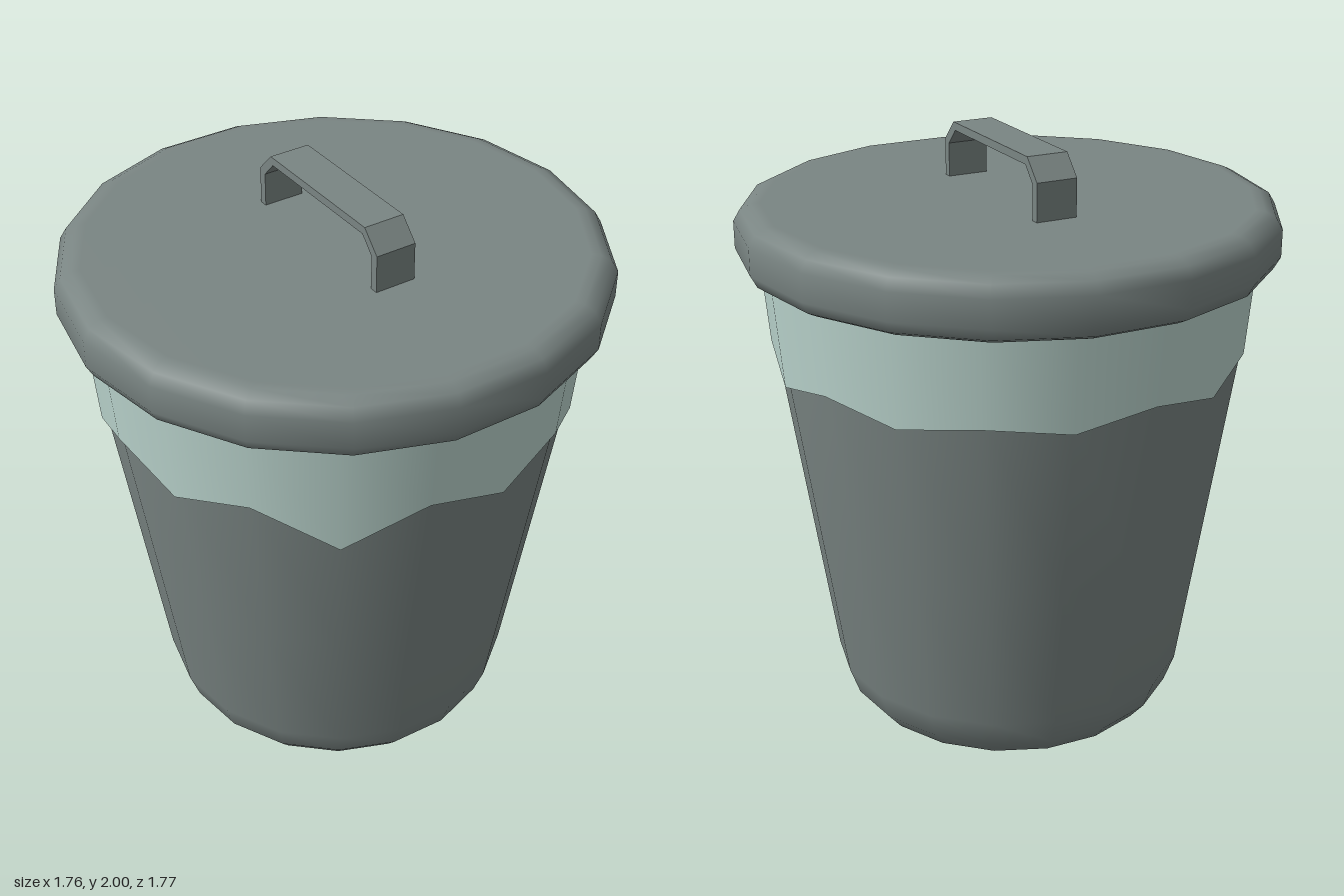
import * as THREE from 'three';

const SIDES = 18;
const points = (list) => list.map(([r, y]) => new THREE.Vector2(r, y));
const lathe = (profile, phi = 0) => new THREE.LatheGeometry(points(profile), SIDES, phi);

// Height of the liner's ragged hem at each of the 18 corners, starting at the front
const HEM = [1.19, 1.33, 1.26, 1.33, 1.235, 1.33, 1.265, 1.325, 1.28,
  1.31, 1.285, 1.33, 1.28, 1.335, 1.22, 1.33, 1.26, 1.33];
const linerRadius = (y) => 0.777 + 0.088 * (y - 1.2);
const binRadius = (y) => 0.604 + 0.15 * (y - 0.18);

// Move every ring corner of a lathe listed in `rows` onto the hem line
function followHem(geometry, rowCount, radii) {
  const pos = geometry.attributes.position;
  for (let i = 0; i <= SIDES; i++) {
    const y = HEM[i % SIDES];
    const phi = (i / SIDES) * Math.PI * 2;
    radii.forEach((radius, j) => {
      const r = radius(y);
      pos.setXYZ(i * rowCount + j, r * Math.sin(phi), y, r * Math.cos(phi));
    });
  }
  return geometry;
}

export function createModel() {
  const group = new THREE.Group();
  const metal = new THREE.MeshStandardMaterial({ color: 0x7a8583 });
  metal.name = 'grey metal';
  const plastic = new THREE.MeshStandardMaterial({ color: 0xbcd6cf, side: THREE.DoubleSide });
  plastic.name = 'pale green plastic';

  const add = (name, geometry, material) => {
    const mesh = new THREE.Mesh(geometry, material);
    mesh.name = name;
    group.add(mesh);
    return mesh;
  };

  // Tapered bin with a rounded foot; it closes in under the liner
  add('bin', lathe([
    [0, 0], [0.4, 0], [0.45, 0.003], [0.52, 0.025], [0.57, 0.085], [0.604, 0.18],
    [binRadius(0.7), 0.7], [binRadius(1.34), 1.34], [0.775, 1.62],
  ]), metal);

  // Liner hanging over the rim, with a ragged hem and its thin lower edge
  const linerProfile = [[linerRadius(1.2), 1.2], [linerRadius(1.62), 1.62]];
  add('liner', followHem(lathe(linerProfile), 2, [linerRadius]), plastic);
  add('linerHem', followHem(lathe([[0.75, 1.2], [0.777, 1.2]]), 2,
    [(y) => binRadius(y) - 0.005, linerRadius]), plastic);

  // Rounded lid, turned slightly relative to the bin
  add('lid', lathe([
    [0, 1.6], [0.8, 1.6], [0.83, 1.602], [0.865, 1.62], [0.887, 1.66],
    [0.887, 1.75], [0.865, 1.787], [0.83, 1.805], [0.8, 1.807], [0, 1.807],
  ], THREE.MathUtils.degToRad(2.2)), metal);

  // Chamfered strap handle set diagonally across the lid
  const half = [[0.327, 1.79], [0.327, 1.932], [0.262, 2]];
  const inner = [[0.25, 1.973], [0.299, 1.92], [0.299, 1.79]];
  const mirror = (list) => list.map(([x, y]) => [-x, y]).reverse();
  const outline = [...half, ...mirror(half), ...mirror(inner), ...inner];
  const strap = new THREE.ExtrudeGeometry(new THREE.Shape(points(outline)),
    { depth: 0.14, bevelEnabled: false });
  strap.translate(0, 0, -0.07);
  add('handle', strap, metal).rotation.y = THREE.MathUtils.degToRad(-57.5);

  return group;
}
